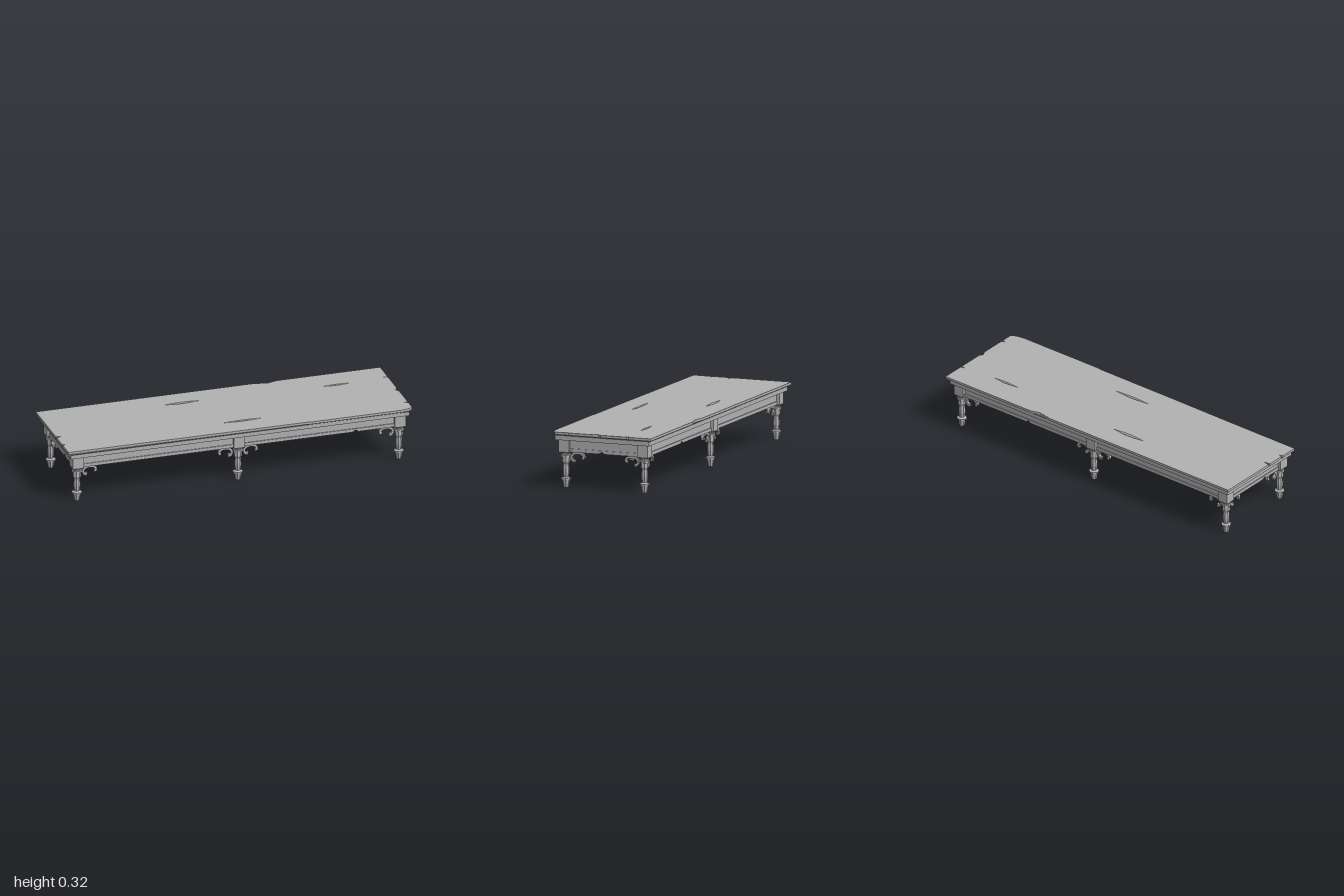
import * as THREE from 'three';

const stone = new THREE.MeshStandardMaterial({ color: 0xb2b2b2, flatShading: true, side: THREE.DoubleSide });
stone.name = 'worn grey';

function add(parent, name, geometry, x = 0, y = 0, z = 0) {
  const mesh = new THREE.Mesh(geometry, stone);
  mesh.name = name;
  mesh.position.set(x, y, z);
  parent.add(mesh);
  return mesh;
}

const points = (list) => list.map(([a, b]) => new THREE.Vector2(a, b));

// Box whose bottom face is a different size from its top
function taperedBox(topW, topD, botW, botD, y0, y1) {
  const g = new THREE.BoxGeometry(1, y1 - y0, 1);
  const p = g.attributes.position;
  for (let i = 0; i < p.count; i++) {
    const up = p.getY(i) > 0;
    p.setX(i, p.getX(i) * (up ? topW : botW));
    p.setZ(i, p.getZ(i) * (up ? topD : botD));
  }
  return g.translate(0, (y0 + y1) / 2, 0);
}

// Lens-shaped outline of a split in the wood
function lens(cx, cz, length, width) {
  return [[-0.5, 0], [-0.2, -0.36], [0.05, -0.5], [0.25, -0.3], [0.5, 0], [0.2, 0.36], [-0.05, 0.5], [-0.25, 0.3]]
    .map(([a, b]) => [cx + a * length, cz + b * width]);
}

// Sloping walls of a split, meeting in its middle
function splitFloor(outline, cx, cz, top, depth) {
  const v = [];
  outline.forEach(([x, z], i) => {
    const [nx, nz] = outline[(i + 1) % outline.length];
    v.push(x, top, z, cx, top - depth, cz, nx, top, nz);
  });
  const g = new THREE.BufferGeometry();
  g.setAttribute('position', new THREE.Float32BufferAttribute(v, 3));
  g.computeVertexNormals();
  return g;
}

// Worn table top with chipped edges and three splits
function buildTop(group) {
  const edge = [[-1, 0.288], [-1, 0.185], [-0.975, 0.178], [-1, 0.173], [-1, 0.073], [-0.96, 0.066], [-1, 0.06],
    [-1, -0.3], [0.26, -0.3], [0.31, -0.291], [0.345, -0.285], [0.4, -0.3], [1, -0.3],
    [1, -0.166], [0.97, -0.161], [1, -0.157], [1, 0], [0.987, 0.018], [1, 0.045], [1, 0.197], [0.975, 0.202], [1, 0.207],
    [1, 0.278], [0.975, 0.291], [0.93, 0.3], [0.4, 0.3], [0.38, 0.296], [-0.1, 0.294], [-0.55, 0.29]];
  const shape = new THREE.Shape(points(edge.map(([x, z]) => [x, -z])));
  const splits = [[-0.195, -0.17, 0.22, 0.02], [0.695, -0.144, 0.17, 0.015], [0.05, 0.164, 0.24, 0.016]];
  for (const [cx, cz, length, width] of splits) {
    const outline = lens(cx, cz, length, width);
    shape.holes.push(new THREE.Path(points(outline.map(([x, z]) => [x, -z]))));
    add(group, 'topSplit', splitFloor(outline, cx, cz, 0.316, 0.009));
  }
  const slab = new THREE.ExtrudeGeometry(shape, { depth: 0.014, bevelEnabled: false });
  slab.rotateX(-Math.PI / 2);
  add(group, 'tableTop', slab, 0, 0.302, 0);
  add(group, 'topUnderBevel', taperedBox(1.985, 0.585, 1.96, 0.57, 0.294, 0.3025));
  add(group, 'moulding', new THREE.BoxGeometry(1.965, 0.026, 0.566), 0, 0.2825, 0);
}

// Board with a chip out of its lower edge, facing +z
function chippedBoard(length, y0, y1, thickness, chip) {
  const outline = [[-length / 2, y0], [chip - 0.015, y0], [chip, y0 + 0.012], [chip + 0.015, y0],
    [length / 2, y0], [length / 2, y1], [-length / 2, y1]];
  return new THREE.ExtrudeGeometry(new THREE.Shape(points(outline)), { depth: thickness, bevelEnabled: false })
    .translate(0, 0, -thickness);
}

// Apron panel with a projecting lower bead
function buildApron(parent, length, distance, angle, chip) {
  const side = new THREE.Group();
  side.name = 'apronSide';
  add(side, 'apronPanel', chippedBoard(length, 0.206, 0.272, 0.03, chip), 0, 0, distance);
  add(side, 'apronBead', chippedBoard(length, 0.201, 0.22, 0.04, chip), 0, 0, distance + 0.005);
  side.rotation.y = angle;
  parent.add(side);
}

// Flat curled bracket growing along +x from a leg
function scrollGeometry() {
  const path = new THREE.CatmullRomCurve3([[0.058, 0.15], [0.044, 0.153], [0.035, 0.168], [0.041, 0.184], [0.056, 0.193],
    [0.075, 0.195], [0.096, 0.192], [0.109, 0.18], [0.108, 0.168], [0.099, 0.166]]
    .map(([x, y]) => new THREE.Vector3(x, y, 0)));
  const n = 22, outer = [], inner = [];
  for (let i = 0; i <= n; i++) {
    const t = i / n, p = path.getPoint(t), d = path.getTangent(t);
    const w = 0.0065 + 0.003 * Math.max(0, 1 - t * 7) + 0.001 * Math.max(0, t * 6 - 5);
    outer.push([p.x - d.y * w, p.y + d.x * w]);
    inner.unshift([p.x + d.y * w, p.y - d.x * w]);
  }
  const shape = new THREE.Shape(points([...outer, ...inner]));
  return new THREE.ExtrudeGeometry(shape, { depth: 0.016, bevelEnabled: false }).translate(0, 0, -0.008);
}

export function createModel() {
  const model = new THREE.Group();
  model.name = 'longTable';
  buildTop(model);

  // Aprons on the four sides
  buildApron(model, 1.88, 0.25, 0, 0.68);
  buildApron(model, 1.88, 0.25, Math.PI, -0.45);
  buildApron(model, 0.46, 0.95, Math.PI / 2, -0.013);
  buildApron(model, 0.46, 0.95, -Math.PI / 2, 0.08);

  // Turned leg shape shared by all six legs
  const turned = new THREE.LatheGeometry(points([[0, 0], [0.015, 0], [0.023, 0.043], [0.029, 0.043], [0.029, 0.051],
    [0.021, 0.054], [0.016, 0.058], [0.02, 0.085], [0.02, 0.102], [0.017, 0.13], [0.024, 0.145], [0.022, 0.168],
    [0.029, 0.17], [0.029, 0.182], [0.024, 0.185], [0.024, 0.198]]), 8).rotateY(Math.PI / 8);
  const scroll = scrollGeometry();

  for (const z of [-1, 1]) {
    for (const x of [-1, 0, 1]) {
      const leg = new THREE.Group();
      leg.name = x === 0 ? 'middleLeg' : 'cornerLeg';
      leg.position.set(x * 0.935, 0, z * 0.236);
      model.add(leg);
      add(leg, 'turnedLeg', turned);
      add(leg, 'legBlock', taperedBox(0.063, 0.063, 0.063, 0.063, 0.2, 0.272));
      add(leg, 'blockFoot', taperedBox(0.063, 0.063, 0.054, 0.054, 0.194, 0.2));

      // Scroll brackets beside the leg, pointing along each apron
      const angles = x === 0 ? [0, Math.PI] : [x < 0 ? 0 : Math.PI, z * Math.PI / 2];
      for (const angle of angles) add(leg, 'scrollBracket', scroll).rotation.y = angle;
    }
  }
  return model;
}
